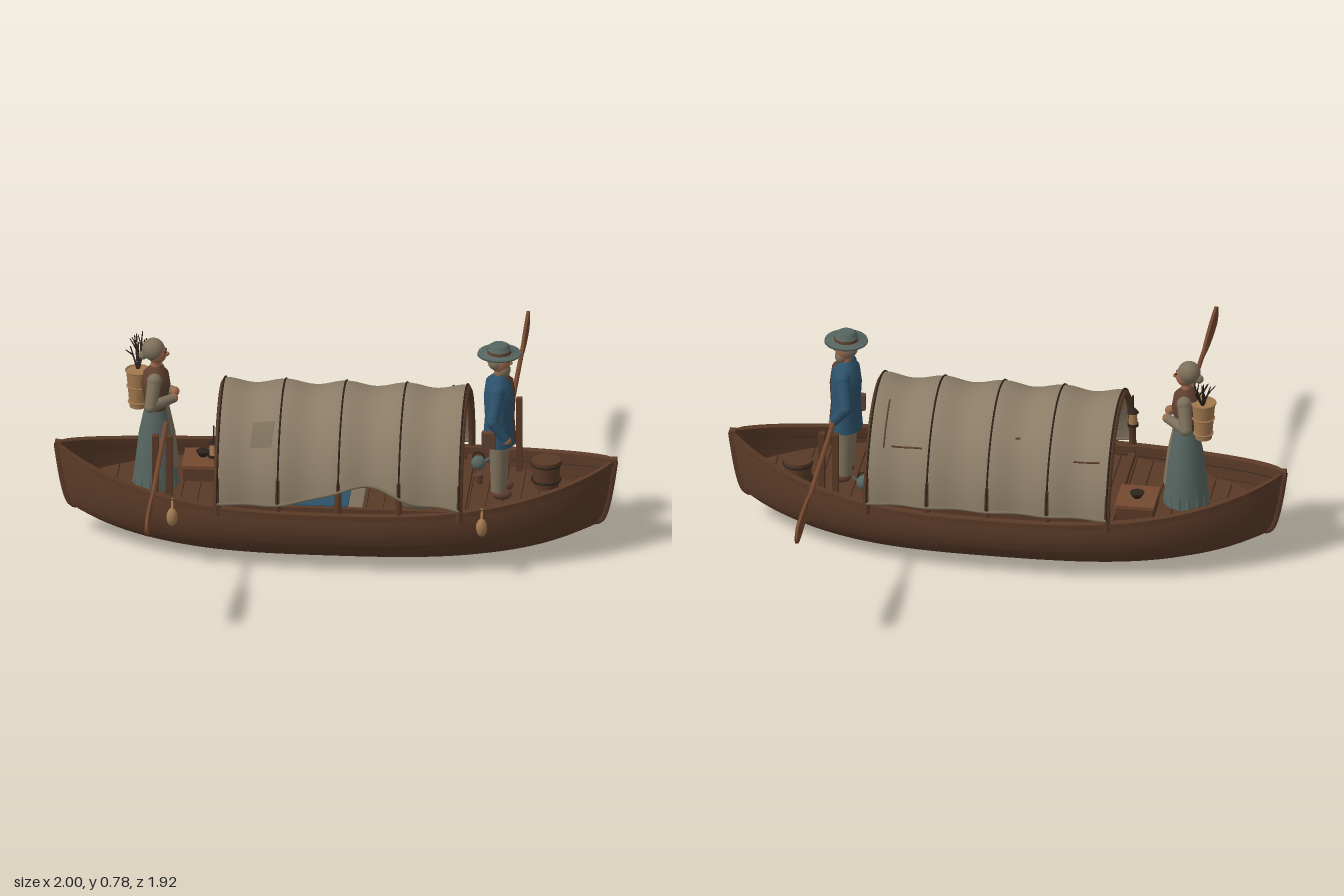
import * as THREE from 'three';
import { mergeGeometries } from 'three/addons/utils/BufferGeometryUtils.js';

const mat = (name, color, side = THREE.FrontSide) => {
  const m = new THREE.MeshStandardMaterial({ color, side });
  m.name = name;
  return m;
};
const V = (x, y, z) => new THREE.Vector3(x, y, z);
const { sin, cos, pow, abs, PI, max, min } = Math;

// Hull lines: rail height, keel height and half beam along the length
const sheer = s => 0.235 + 0.105 * pow(abs(s), 3);
const keelY = s => 0.008 + 0.1 * pow(s, 4);
const beam = s => 0.325 * pow(max(0, 1 - pow(abs(s), 2.6)), 0.8);
const rake = t => 0.92 + 0.07 * pow(t, 0.7);
function hullPoint(s, t, off, side) {
  const a = t * PI / 2;
  const y = keelY(s) + (sheer(s) - keelY(s)) * (1 - cos(a)) - off * cos(a);
  return V(s * rake(t), y, side * (beam(s) * pow(sin(a), 0.7) + off * sin(a)));
}
// Half width of the hull at a given x and height
function widthAt(x, y) {
  const f = min(1, max(0, (y - keelY(x)) / (sheer(x) - keelY(x))));
  const a = Math.acos(1 - f);
  return beam(min(1, abs(x) / rake(a * 2 / PI))) * pow(sin(a), 0.7);
}
// Canopy surface: u along the boat, v from the left edge over the top
function canopyPoint(u, v, lift = 0) {
  const sag = 1 - 0.045 * pow(sin(4 * PI * u), 2) + lift;
  const start = 0.08 + 0.22 * Math.exp(-pow((u - 0.6) / 0.2, 2)) + 0.025 * sin(u * 22) * u;
  const a = start + (PI - 0.08 - start) * v;
  return V(-0.4 + 0.86 * u, 0.235 + 0.36 * sag * sin(a), 0.31 * sag * cos(a));
}
// Surface from a rule over a grid
function grid(fn, nu, nv) {
  const p = [], idx = [];
  for (let i = 0; i <= nu; i++) for (let j = 0; j <= nv; j++) p.push(...fn(i / nu, j / nv).toArray());
  for (let i = 0; i < nu; i++) for (let j = 0; j < nv; j++) {
    const a = i * (nv + 1) + j, b = a + nv + 1;
    idx.push(a, b, a + 1, b, b + 1, a + 1);
  }
  const g = new THREE.BufferGeometry();
  g.setAttribute('position', new THREE.Float32BufferAttribute(p, 3));
  g.setIndex(idx);
  g.computeVertexNormals();
  return g;
}
const tube = (pts, r, n = 48, sides = 6) =>
  new THREE.TubeGeometry(new THREE.CatmullRomCurve3(pts), n, r, sides);
const range = (n, fn) => Array.from({ length: n }, (_, i) => fn(i));

export function createModel() {
  const wood = mat('hullWood', 0x5a3a27, THREE.DoubleSide);
  const oarWood = mat('oarWood', 0x74482f);
  const dark = mat('darkIron', 0x2e231c, THREE.DoubleSide);
  const canvas = mat('canvas', 0x8c7d67, THREE.DoubleSide);
  const blue = mat('blueCloth', 0x2d526b, THREE.DoubleSide);
  const sage = mat('sageCloth', 0x566560, THREE.DoubleSide);
  const linen = mat('linen', 0x7d705b, THREE.DoubleSide);
  const skin = mat('skin', 0xa06a4c);
  const wicker = mat('wicker', 0xa2794f);
  const leather = mat('leather', 0x5f4030, THREE.DoubleSide);

  const root = new THREE.Group();
  const add = (parent, name, geo, m, x = 0, y = 0, z = 0) => {
    const mesh = new THREE.Mesh(geo, m);
    mesh.name = name;
    mesh.position.set(x, y, z);
    parent.add(mesh);
    return mesh;
  };
  const group = (name, x = 0, y = 0, z = 0) => {
    const g = new THREE.Group();
    g.name = name;
    g.position.set(x, y, z);
    root.add(g);
    return g;
  };
  const box = (p, n, w, h, d, m, x, y, z) => add(p, n, new THREE.BoxGeometry(w, h, d), m, x, y, z);
  const cyl = (p, n, r1, r0, h, m, x, y, z) => add(p, n, new THREE.CylinderGeometry(r1, r0, h, 18), m, x, y, z);
  const ball = (p, n, r, m, x, y, z) => add(p, n, new THREE.SphereGeometry(r, 18, 12), m, x, y, z);
  const lathe = (p, n, pts, m, a = 0, len = PI * 2) =>
    add(p, n, new THREE.LatheGeometry(pts.map(q => new THREE.Vector2(...q)), 24, a, len), m);
  const rod = (p, n, a, b, r0, r1, m) => {
    const d = b.clone().sub(a);
    const mesh = add(p, n, new THREE.CylinderGeometry(r1, r0, d.length(), 10), m);
    mesh.position.copy(a).addScaledVector(d, 0.5);
    mesh.quaternion.setFromUnitVectors(V(0, 1, 0), d.normalize());
    return mesh;
  };

  // Overlapping hull planks with dark lap edges
  const hull = group('hull'), planks = [], laps = [], N = 9;
  for (const side of [1, -1]) for (let k = 0; k < N; k++) {
    const lap = k ? 0.008 : 0;
    planks.push(grid((u, v) => hullPoint(2 * u - 1, (k + v) / N, lap * (1 - v), side), 56, 3));
    if (k) laps.push(grid((u, v) => hullPoint(2 * u - 1, k / N, lap * v, side), 56, 1));
  }
  add(hull, 'hullPlanks', mergeGeometries(planks), wood);
  add(hull, 'plankLaps', mergeGeometries(laps), dark);
  // Keel, stems and rails
  add(hull, 'keel', tube(range(25, i => hullPoint(i / 12 - 1, 0, 0, 1).add(V(0, 0.004, 0))), 0.012), wood);
  for (const e of [1, -1]) {
    add(hull, 'stem', tube(range(9, i => hullPoint(e, i / 8, 0, 1)), 0.014, 20), wood);
    box(hull, 'stemHead', 0.022, 0.03, 0.03, wood, e * 0.987, 0.337, 0);
    const corners = [[-0.018, -0.012], [0.01, -0.012], [0.01, 0.008], [-0.018, 0.008], [-0.018, -0.012]];
    for (let c = 0; c < 4; c++) add(hull, 'rail', grid((u, v) => {
      const q = hullPoint(2 * u - 1, 1, 0, e), a = corners[c], b = corners[c + 1];
      const z = abs(q.z) + a[0] + (b[0] - a[0]) * v;
      return V(q.x, q.y + a[1] + (b[1] - a[1]) * v, e * max(0, z));
    }, 60, 1), wood);
  }

  // Crosswise deck boards
  const deck = group('deck'), step = 0.06;
  for (let x = -0.9; x < 0.89; x += step) {
    const a = x + 0.002, b = x + step - 0.002, wa = widthAt(a, 0.19) - 0.004, wb = widthAt(b, 0.19) - 0.004;
    const s = new THREE.Shape([[a, -wa], [b, -wb], [b, wb], [a, wa]].map(q => new THREE.Vector2(...q)));
    const g = new THREE.ExtrudeGeometry(s, { depth: 0.014, bevelEnabled: false }).rotateX(-PI / 2);
    add(deck, 'deckBoard', g, wood, 0, 0.186, 0);
  }
  for (const z of [0.28, -0.28]) box(deck, 'sideBoard', 0.88, 0.025, 0.018, wood, 0.03, 0.24, z);
  for (const x of [-0.4, 0.46]) box(deck, 'crossBeam', 0.025, 0.03, 0.56, wood, x, 0.21, 0);

  // Canvas canopy on bent hoops
  const canopy = group('canopy');
  add(canopy, 'canvasCover', grid((u, v) => canopyPoint(u, v), 48, 32), canvas);
  for (const v of [0, 1]) add(canopy, 'hem', tube(range(33, i => canopyPoint(i / 32, v)), 0.006, 64), linen);
  for (let k = 0; k < 5; k++) {
    const x = -0.4 + 0.215 * k;
    add(canopy, 'hoop', tube(range(21, i => V(x, 0.22 + 0.36 * sin(i * PI / 20), 0.302 * cos(i * PI / 20))), 0.013), wood);
    add(canopy, 'seam', tube(range(21, i => canopyPoint(k / 4, i / 20, 0.003)), 0.0035, 48, 5), dark);
  }
  add(canopy, 'patch', grid((u, v) => canopyPoint(0.13 + 0.09 * u + 0.01 * v, 0.2 + 0.1 * v, 0.008), 6, 6), linen);
  for (const [u, v, du] of [[0.04, 0.8, 0.11], [0.78, 0.79, 0.13], [0.38, 0.72, 0.02]])
    add(canopy, 'stitching', tube(range(6, i => canopyPoint(u + du * i / 5, v, 0.004)), 0.0035, 10, 5), leather);
  add(canopy, 'stitching', tube(range(9, i => canopyPoint(0.94, 0.6 + i * 0.025, 0.004)), 0.003, 16, 5), leather);

  // Bedding and cargo
  const cargo = group('cargo');
  box(cargo, 'mattress', 0.42, 0.03, 0.2, linen, -0.1, 0.215, 0.13);
  box(cargo, 'blanket', 0.36, 0.012, 0.215, blue, -0.12, 0.235, 0.13);
  box(cargo, 'rearBlanket', 0.22, 0.04, 0.18, blue, -0.24, 0.22, -0.15);
  for (const [x, z] of [[0.3, 0.12], [0.33, -0.12], [0.18, -0.16]])
    ball(cargo, 'cushion', 0.08, linen, x, 0.23, z).scale.set(1, 0.45, 0.85);
  box(cargo, 'chest', 0.13, 0.05, 0.15, wood, -0.48, 0.225, -0.1);
  box(cargo, 'chestLid', 0.14, 0.012, 0.16, oarWood, -0.48, 0.254, -0.1);
  cyl(cargo, 'bowl', 0.026, 0.014, 0.02, dark, -0.48, 0.271, -0.11);
  cyl(cargo, 'bucket', 0.052, 0.045, 0.1, wood, 0.74, 0.25, -0.085);
  for (const y of [0.225, 0.285]) add(cargo, 'bucketBand', new THREE.TorusGeometry(0.051, 0.004, 6, 24).rotateX(PI / 2), dark, 0.74, y, -0.085);
  ball(cargo, 'kettle', 0.026, sage, 0.495, 0.255, -0.14);
  rod(cargo, 'kettleSpout', V(0.51, 0.255, -0.14), V(0.535, 0.275, -0.14), 0.006, 0.004, sage);
  add(cargo, 'kettleHandle', new THREE.TorusGeometry(0.02, 0.003, 6, 16, PI), dark, 0.495, 0.275, -0.14);
  cyl(cargo, 'mug', 0.016, 0.014, 0.035, leather, 0.5, 0.22, -0.08);
  for (const r of [0.016, 0.027, 0.037]) add(cargo, 'ropeCoil', new THREE.TorusGeometry(r, 0.006, 6, 24).rotateX(PI / 2), wicker, -0.86, 0.207, -0.01);

  // Rope fenders on the left side
  for (const x of [-0.56, 0.54]) {
    const z = beam(x) + 0.024;
    ball(hull, 'fender', 0.02, wicker, x, 0.2, z).scale.y = 1.7;
    rod(hull, 'fenderRope', V(x, 0.225, z), V(x, 0.262, z - 0.024), 0.005, 0.005, wicker);
  }
  // Hanging lantern
  const lantern = group('lantern', -0.42, 0.42, 0.18);
  cyl(lantern, 'lanternGlass', 0.014, 0.016, 0.045, wicker, 0, 0, 0);
  cyl(lantern, 'lanternCap', 0.006, 0.021, 0.018, dark, 0, 0.031, 0);
  cyl(lantern, 'lanternBase', 0.02, 0.02, 0.01, dark, 0, -0.026, 0);
  rod(lantern, 'lanternHook', V(0, 0.04, 0), V(0, 0.09, 0), 0.003, 0.003, dark);

  // Oars with upright blades, each between two posts
  function oar(x, y, turn) {
    const g = group('oar', x, y, 0);
    g.rotation.y = turn;
    rod(g, 'shaft', V(0, 0, 0.05), V(0, -0.008, 0.72), 0.009, 0.008, oarWood);
    const s = new THREE.Shape();
    s.moveTo(0.62, -0.008);
    s.bezierCurveTo(0.72, -0.03, 0.8, -0.042, 0.92, -0.036);
    s.bezierCurveTo(0.975, -0.03, 0.975, 0.03, 0.92, 0.034);
    s.bezierCurveTo(0.8, 0.036, 0.72, 0.028, 0.62, 0.008);
    add(g, 'blade', new THREE.ExtrudeGeometry(s, { depth: 0.01, bevelEnabled: false, curveSegments: 10 })
      .translate(0, 0, -0.005).rotateY(-PI / 2), oarWood, 0, -0.008, 0);
    for (const dx of [-0.025, 0.025]) box(g, 'oarPost', 0.022, 0.29, 0.024, wood, dx, 0.335 - y, 0.21);
  }
  oar(-0.6, 0.455, 0);
  oar(0.61, 0.467, PI);

  const arm = (p, a, b, c, m) => {
    rod(p, 'upperArm', a, b, 0.026, 0.022, m);
    ball(p, 'shoulder', 0.027, m, ...a.toArray());
    ball(p, 'elbow', 0.022, m, ...b.toArray());
    rod(p, 'forearm', b, c, 0.022, 0.017, m);
    ball(p, 'hand', 0.017, skin, ...c.toArray());
  };
  const head = (p, y) => {
    cyl(p, 'neck', 0.017, 0.02, 0.06, skin, 0, y - 0.045, 0);
    ball(p, 'head', 0.035, skin, 0.004, y, 0).scale.set(1, 1.15, 0.9);
    ball(p, 'nose', 0.008, skin, 0.04, y - 0.002, 0);
    for (const z of [-0.012, 0.012]) ball(p, 'eye', 0.0045, dark, 0.035, y + 0.009, z);
  };

  // Boatman facing the bow
  const man = group('boatman', 0.58, 0.2, 0);
  for (const z of [-0.04, 0.04]) {
    rod(man, 'trouserLeg', V(0, 0.03, z), V(0, 0.25, z * 0.8), 0.027, 0.036, linen);
    ball(man, 'boot', 0.026, leather, 0.012, 0.018, z).scale.set(1.4, 0.8, 0.9);
  }
  const coat = [[0.069, 0.205], [0.06, 0.3], [0.065, 0.38], [0.056, 0.44], [0.02, 0.468]];
  lathe(man, 'jacket', coat, blue).scale.set(0.85, 1, 1.15);
  lathe(man, 'vest', coat.map(q => [q[0] + 0.003, q[1]]), leather, PI / 2 - 0.4, 0.8).scale.set(0.85, 1, 1.15);
  arm(man, V(0, 0.425, -0.07), V(-0.015, 0.33, -0.115), V(0.03, 0.268, -0.1), blue);
  arm(man, V(0, 0.425, 0.07), V(-0.015, 0.33, 0.12), V(0.035, 0.26, 0.115), blue);
  box(man, 'satchel', 0.05, 0.06, 0.025, leather, -0.03, 0.25, 0.095);
  head(man, 0.512);
  ball(man, 'beard', 0.027, linen, 0.016, 0.483, 0).scale.set(0.9, 1.1, 1);
  ball(man, 'hair', 0.034, linen, -0.008, 0.515, 0);
  lathe(man, 'hat', [[0.03, 0.536], [0.078, 0.543], [0.076, 0.55], [0.041, 0.549], [0.037, 0.575], [0.025, 0.583], [0, 0.579]], sage);
  lathe(man, 'hatBand', [[0.043, 0.549], [0.041, 0.56]], leather);

  // Woman with a back basket
  const woman = group('woman', -0.64, 0.2, 0);
  const skirt = [[0.08, 0.002], [0.074, 0.08], [0.06, 0.2], [0.037, 0.31]];
  lathe(woman, 'skirt', skirt, sage);
  for (let i = 0; i < 14; i++) {
    const a = i * PI / 7;
    rod(woman, 'skirtPleat', V(0.076 * cos(a), 0.002, 0.076 * sin(a)), V(0.035 * cos(a), 0.3, 0.035 * sin(a)), 0.009, 0.004, sage);
  }
  lathe(woman, 'apron', skirt.slice(1).map(q => [q[0] + 0.009, q[1]]), linen, PI / 2 - 0.6, 1.2);
  lathe(woman, 'bodice', [[0.039, 0.295], [0.042, 0.33], [0.052, 0.385], [0.045, 0.43], [0.018, 0.458]], leather).scale.z = 1.15;
  for (const z of [-1, 1]) arm(woman, V(0, 0.42, z * 0.055), V(-0.012, 0.335, z * 0.09), V(0.065, 0.345, z * 0.03), linen);
  head(woman, 0.505);
  ball(woman, 'headscarf', 0.041, linen, -0.009, 0.519, 0);
  ball(woman, 'scarfKnot', 0.016, linen, -0.045, 0.495, 0);
  cyl(woman, 'backBasket', 0.042, 0.03, 0.14, wicker, -0.066, 0.35, -0.035);
  for (const y of [0.3, 0.36, 0.42]) add(woman, 'basketRing', new THREE.TorusGeometry(0.031 + (y - 0.28) * 0.085, 0.004, 6, 24).rotateX(PI / 2), wicker, -0.066, y, -0.035);
  for (let i = 0; i < 7; i++) {
    const a = V(-0.066, 0.41, -0.045), b = V(-0.095 + 0.055 * ((i * 3) % 7) / 6, 0.5 + 0.01 * (i % 4), -0.06 - i * 0.015);
    rod(woman, 'twig', a, b, 0.004, 0.002, dark);
    rod(woman, 'twig', a.clone().lerp(b, 0.65), b.clone().add(V(-0.015, -0.005, 0.02)), 0.003, 0.0015, dark);
  }
  return root;
}
